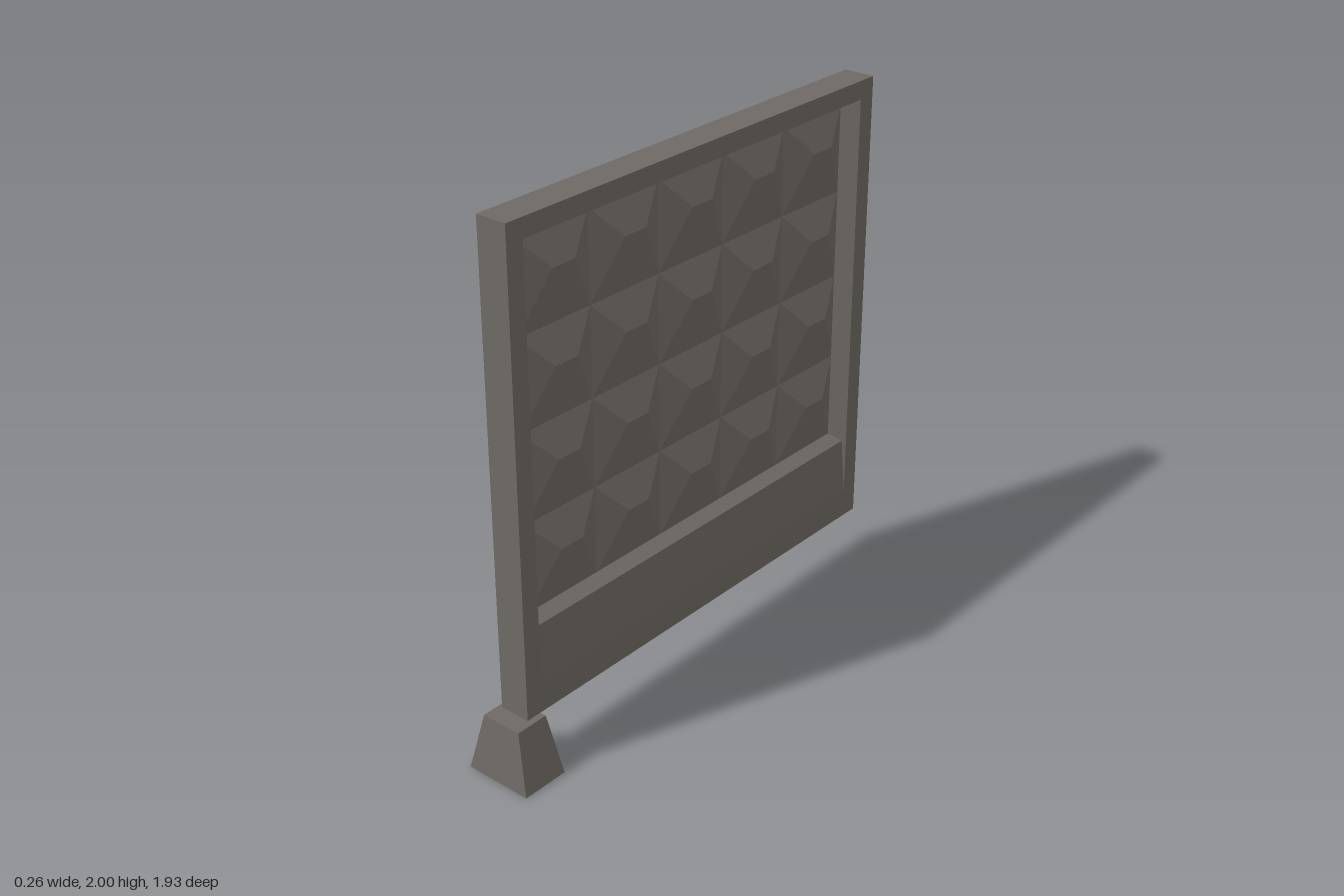
import * as THREE from 'three';

const concrete = new THREE.MeshStandardMaterial({ color: 0x6e6963 });
concrete.name = 'concrete grey';

// Flat-shaded mesh from convex polygons, each listed counter-clockwise from outside
function polyMesh(name, polygons) {
  const pos = [];
  for (const p of polygons) {
    for (let i = 1; i < p.length - 1; i++) pos.push(...p[0], ...p[i], ...p[i + 1]);
  }
  const g = new THREE.BufferGeometry();
  g.setAttribute('position', new THREE.Float32BufferAttribute(pos, 3));
  g.computeVertexNormals();
  const mesh = new THREE.Mesh(g, concrete);
  mesh.name = name;
  return mesh;
}

// Rectangle facing +x, counter-clockwise from the lower +z corner
const rect = (x, y0, y1, zNear, zFar) => [[x, y0, zNear], [x, y0, zFar], [x, y1, zFar], [x, y1, zNear]];

// Strip of four quads joining two rectangles
const strip = (a, b) => a.map((p, i) => [p, a[(i + 1) % 4], b[(i + 1) % 4], b[i]]);

export function createModel() {
  const group = new THREE.Group();
  group.name = 'concreteFencePanel';

  const back = rect(-0.06, 0.23, 2, 0.875, -0.965);
  const front = rect(0.06, 0.23, 2, 0.875, -0.965);
  const opening = rect(0.06, 0.34, 1.93, 0.805, -0.895);
  const deep = rect(-0.005, 0.585, 1.91, 0.785, -0.865);
  const lipNear = [0.045, 0.56, 0.8], lipFar = [0.045, 0.56, -0.888];

  // Slab with its border
  group.add(polyMesh('frame', [[...back].reverse(), ...strip(back, front), ...strip(front, opening)]));

  // Sloping walls of the recess
  group.add(polyMesh('recessWalls', [
    [opening[2], opening[3], deep[3], deep[2]],
    [opening[3], opening[0], lipNear, deep[0], deep[3]],
    [opening[2], deep[2], deep[1], lipFar, opening[1]],
  ]));

  // Leaning lower band and the ledge above it
  group.add(polyMesh('lowerBand', [[opening[0], opening[1], lipFar, lipNear]]));
  group.add(polyMesh('ledge', [[lipNear, lipFar, deep[1], deep[0]]]));

  // Grid of hipped relief blocks, each with a short high ridge
  const cols = 5, rows = 4, w = 1.65 / cols, h = 1.325 / rows;
  const relief = [];
  for (let r = 0; r < rows; r++) {
    for (let c = 0; c < cols; c++) {
      const z0 = 0.785 - c * w, y1 = 1.91 - r * h;
      const [a, b, d, e] = rect(-0.005, y1 - h, y1, z0, z0 - w);
      const left = [0.045, y1 - 0.12, z0 - 0.115];
      const right = [0.045, y1 - 0.12, z0 - w + 0.115];
      relief.push([a, b, right, left], [b, d, right], [d, e, left, right], [e, a, left]);
    }
  }
  group.add(polyMesh('reliefBlocks', relief));

  // Tapered foot under the front end
  const foot = new THREE.BoxGeometry(1, 0.225, 1);
  const p = foot.attributes.position;
  for (let i = 0; i < p.count; i++) {
    const top = p.getY(i) > 0;
    p.setX(i, p.getX(i) * (top ? 0.16 : 0.264));
    p.setZ(i, p.getZ(i) * (top ? 0.13 : 0.185));
  }
  const flatFoot = foot.toNonIndexed();
  flatFoot.computeVertexNormals();
  const footMesh = new THREE.Mesh(flatFoot, concrete);
  footMesh.name = 'foot';
  footMesh.position.set(0, 0.1125, 0.875);
  group.add(footMesh);

  return group;
}
